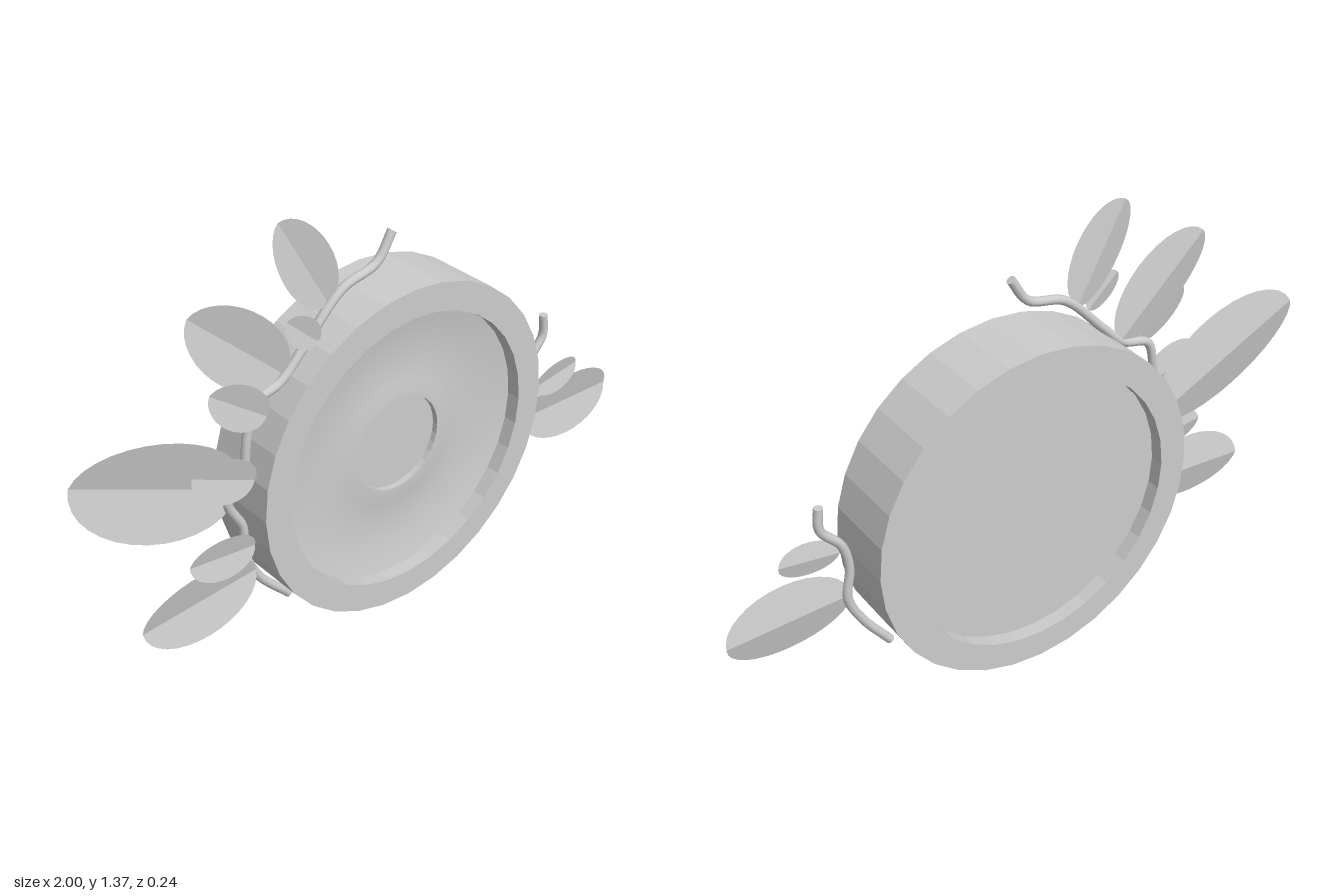
import * as THREE from 'three';
import { toCreasedNormals } from 'three/addons/utils/BufferGeometryUtils.js';

const grey = new THREE.MeshStandardMaterial({ color: 0xcccccc, side: THREE.DoubleSide });
grey.name = 'plain grey';

function mesh(geometry, name) {
  const m = new THREE.Mesh(geometry, grey);
  m.name = name;
  return m;
}

// Faceted drum with a recessed back, a shallow front bowl and a centre cup
function drum() {
  const profile = [
    [0, -0.075], [0.445, -0.075], [0.445, -0.12], [0.535, -0.12],
    [0.535, 0.12], [0.445, 0.12], [0.445, 0.075],
    [0.40, 0.066], [0.35, 0.059], [0.30, 0.055], [0.25, 0.055], [0.21, 0.058], [0.17, 0.064],
    [0.155, 0.064], [0.155, 0.045], [0, 0.045],
  ].map(([r, z]) => new THREE.Vector2(r, z));
  const g = new THREE.LatheGeometry(profile, 32).rotateX(Math.PI / 2);
  const m = mesh(toCreasedNormals(g, 0.17), 'drum');
  m.position.set(0.065, 0.54, 0);
  return m;
}

// Round stem through the given points, closed at both ends
function vine(points, name) {
  const group = new THREE.Group();
  group.name = name;
  const curve = new THREE.CatmullRomCurve3(points.map(([x, y]) => new THREE.Vector3(x, y, 0.036)));
  group.add(mesh(new THREE.TubeGeometry(curve, points.length * 8, 0.014, 10), name + 'Stem'));
  for (const t of [0, 1]) {
    const cap = mesh(new THREE.CircleGeometry(0.014, 10), name + 'End');
    const p = curve.getPoint(t);
    cap.position.copy(p);
    cap.lookAt(p.clone().addScaledVector(curve.getTangent(t), t ? 1 : -1));
    group.add(cap);
  }
  return group;
}

// Oval leaf folded along its midrib, with the edges raised towards the front
function leaf([x, y, z, a, b, degrees], name) {
  const g = new THREE.CircleGeometry(1, 32).scale(a, b, 1);
  const p = g.attributes.position;
  for (let i = 0; i < p.count; i++) p.setZ(i, Math.abs(p.getY(i)) * 0.22);
  const m = mesh(toCreasedNormals(g, 0.1), name);
  m.position.set(x, y, z);
  m.rotation.z = THREE.MathUtils.degToRad(degrees);
  return m;
}

export function createModel() {
  const model = new THREE.Group();
  model.name = 'leafyDrum';
  model.add(drum());

  model.add(vine([
    [0.056, 1.23], [0, 1.15], [-0.125, 1.11], [-0.26, 0.98], [-0.34, 0.905], [-0.435, 0.87],
    [-0.46, 0.78], [-0.48, 0.67], [-0.535, 0.595], [-0.49, 0.49], [-0.485, 0.39],
    [-0.445, 0.295], [-0.34, 0.175],
  ], 'longVine'));
  model.add(vine([
    [0.69, 0.735], [0.692, 0.66], [0.63, 0.58], [0.612, 0.49], [0.625, 0.39],
    [0.585, 0.295], [0.50, 0.175],
  ], 'shortVine'));

  // Each leaf: centre x, y, z, half length, half width, tilt in degrees
  const largeLeaves = [
    [-0.74, 0.725, 0.017, 0.284, 0.148, -25],
    [-0.655, 0.32, 0.05, 0.193, 0.112, 4],
    [-0.47, 1.055, 0.025, 0.203, 0.105, -43],
    [-0.247, 1.225, 0.03, 0.165, 0.083, -61],
    [0.80, 0.38, 0.05, 0.197, 0.113, -2],
  ];
  const smallLeaves = [
    [-0.575, 0.715, 0.083, 0.111, 0.069, -25],
    [-0.593, 0.465, 0.083, 0.11, 0.068, -7],
    [-0.515, 0.92, 0.083, 0.112, 0.065, -37],
    [-0.30, 1.065, 0.086, 0.07, 0.045, -43],
    [0.708, 0.53, 0.086, 0.096, 0.055, 8],
  ];
  largeLeaves.forEach((l, i) => model.add(leaf(l, 'largeLeaf' + (i + 1))));
  smallLeaves.forEach((l, i) => model.add(leaf(l, 'smallLeaf' + (i + 1))));
  return model;
}
